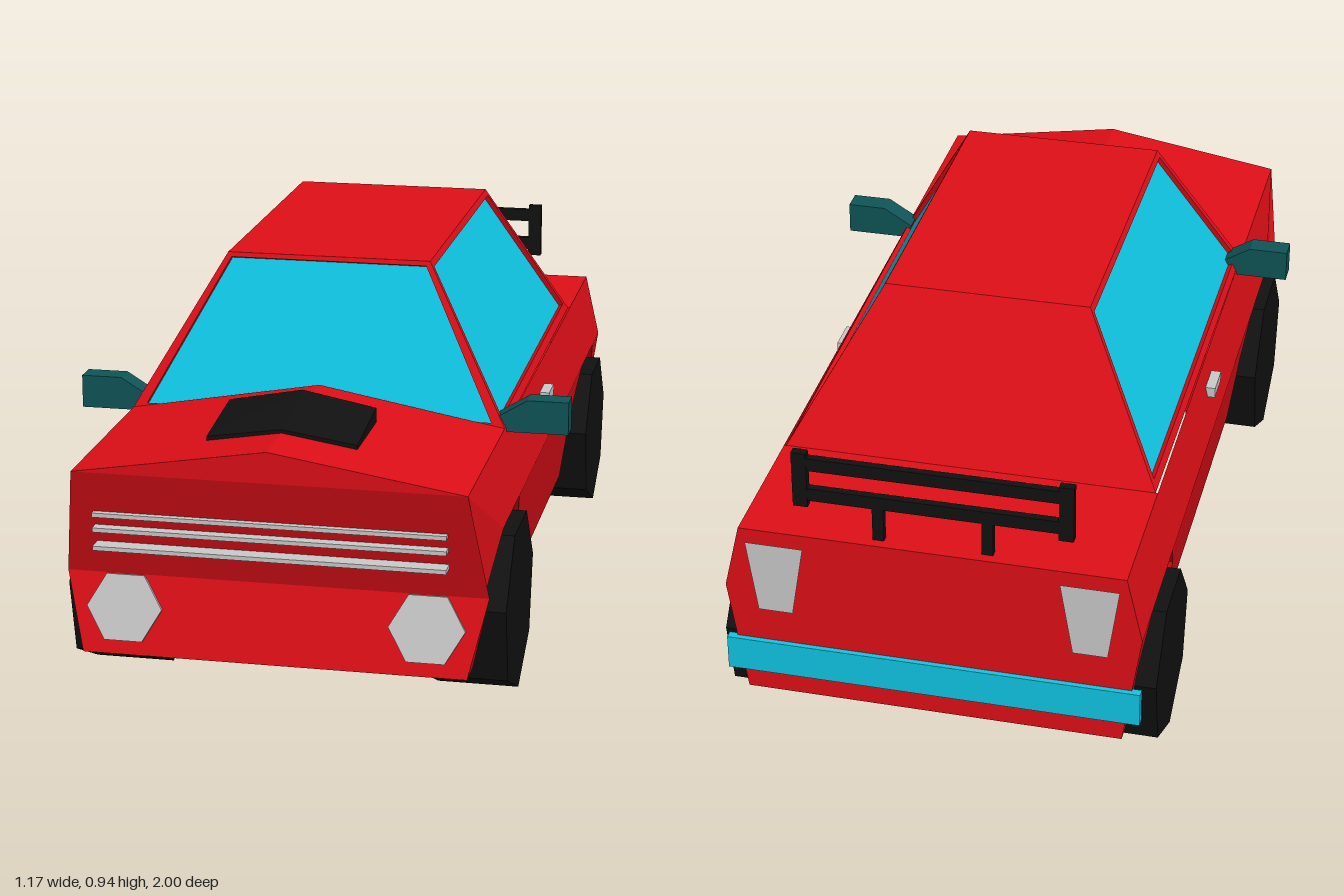
import * as THREE from 'three';

const paint = (color, side = THREE.FrontSide) =>
  new THREE.MeshStandardMaterial({ color, side, flatShading: true });

const V = (x, y, z) => new THREE.Vector3(x, y, z);

// Flat-shaded mesh from a list of convex polygons
function polyMesh(name, polys, material) {
  const pts = [];
  for (const p of polys)
    for (let i = 1; i < p.length - 1; i++) pts.push(p[0], p[i], p[i + 1]);
  const g = new THREE.BufferGeometry().setFromPoints(pts);
  g.computeVertexNormals();
  const m = new THREE.Mesh(g, material);
  m.name = name;
  return m;
}

// Mirror a polygon in x, keeping it outward facing
const mirror = (p) => p.map((v) => V(-v.x, v.y, v.z)).reverse();

// Half width of the body at a point of its side outline
function halfWidth(z, y) {
  if (y > 0.5) return 0.445;
  if (y > 0.4) return 0.482;
  if (y > 0.3) return z > 0.9 ? 0.482 : 0.467;
  return 0.44;
}

// Outward polygons of the left side panel from a (z, y) outline
function sidePanel(outline) {
  let c = outline.map(([z, y]) => new THREE.Vector2(-z, y));
  if (THREE.ShapeUtils.isClockWise(c)) c = c.reverse();
  return THREE.ShapeUtils.triangulateShape(c, []).map((t) =>
    t.map((i) => V(halfWidth(-c[i].x, c[i].y), c[i].y, -c[i].x)));
}

// Full-width strips following a (z, y) path
function across(path) {
  const out = [];
  for (let i = 0; i < path.length - 1; i++) {
    const [[z0, y0], [z1, y1]] = [path[i], path[i + 1]];
    const a = halfWidth(z0, y0), b = halfWidth(z1, y1);
    out.push([V(-a, y0, z0), V(a, y0, z0), V(b, y1, z1), V(-b, y1, z1)]);
  }
  return out;
}

// Window frame with a recessed pane; corners run bottom, bottom, top, top
function framedWindow(corners, u, vLow, vHigh) {
  const [a, b, c, d] = corners;
  const at = (s, t) => a.clone().lerp(b, s).lerp(d.clone().lerp(c, s), t);
  const rim = [at(u, vLow), at(1 - u, vLow), at(1 - u, 1 - vHigh), at(u, 1 - vHigh)];
  const n = b.clone().sub(a).cross(d.clone().sub(a)).normalize().multiplyScalar(-0.012);
  const pane = rim.map((p) => p.clone().add(n));
  const frame = [];
  for (let i = 0; i < 4; i++) {
    const j = (i + 1) % 4;
    frame.push([corners[i], corners[j], rim[j], rim[i]], [rim[i], rim[j], pane[j], pane[i]]);
  }
  return { frame, pane };
}

export function createModel() {
  const root = new THREE.Group();
  const car = new THREE.Group();
  car.name = 'car';
  car.position.x = -0.008;
  root.add(car);

  const red = paint(0xe00f18, THREE.DoubleSide);
  const glass = paint(0x10c8e6, THREE.DoubleSide);
  const black = paint(0x111111);
  const grey = paint(0xcccccc);
  const teal = paint(0x0f5558);

  const add = (name, geometry, material, x, y, z, parent = car) => {
    const m = new THREE.Mesh(geometry, material);
    m.name = name;
    m.position.set(x, y, z);
    parent.add(m);
    return m;
  };
  const box = (name, material, w, h, d, x, y, z) =>
    add(name, new THREE.BoxGeometry(w, h, d), material, x, y, z);

  // Body sides: shoulder panel, sill and the pieces beyond the wheel arches
  const side = [
    [[1, 0.58], [0.92, 0.32], [0.88, 0.32], [0.73, 0.42], [-0.99, 0.42], [-0.99, 0.58]],
    [[0.41, 0.14], [0.41, 0.32], [0.49, 0.42], [-0.63, 0.42], [-0.535, 0.32], [-0.535, 0.14]],
    [[-0.945, 0.14], [-0.945, 0.32], [-0.86, 0.42], [-0.99, 0.42], [-0.99, 0.14]],
    [[0.88, 0.14], [0.88, 0.32], [0.92, 0.32], [0.96, 0.14]],
  ].flatMap(sidePanel);
  car.add(polyMesh('bodySides', [...side, ...side.map(mirror)], red));

  // Front arch tunnel and nose; rear deck, tail and rear arch tunnel
  car.add(polyMesh('noseAndFrontArch', across([[0.41, 0.14], [0.41, 0.32], [0.49, 0.42],
    [0.73, 0.42], [0.88, 0.32], [0.88, 0.14], [0.96, 0.14], [0.92, 0.32], [1, 0.58]]), red));
  car.add(polyMesh('tailAndRearArch', across([[-0.64, 0.58], [-0.99, 0.58], [-0.99, 0.42],
    [-0.99, 0.14], [-0.945, 0.14], [-0.945, 0.32], [-0.86, 0.42], [-0.63, 0.42],
    [-0.535, 0.32], [-0.535, 0.14]]), red));

  // Hood with a centre ridge
  const hood = [V(0, 0.652, 1), V(0.445, 0.58, 1), V(0.445, 0.58, 0.49), V(0, 0.652, 0.463)];
  car.add(polyMesh('hood', [hood, mirror(hood),
    [V(-0.445, 0.58, 1), V(0.445, 0.58, 1), V(0, 0.652, 1)]], red));

  // Cabin: roof, solid back, framed windshield and side windows
  const fb = V(0.445, 0.58, 0.49), ft = V(0.243, 0.936, 0.355);
  const rb = V(0.44, 0.58, -0.64), rt = V(0.243, 0.936, -0.45);
  const flip = (v) => V(-v.x, v.y, v.z);
  const front = framedWindow([flip(fb), fb, ft, flip(ft)], 0.03, 0.03, 0.03);
  const door = framedWindow([fb, rb, rt, ft], 0.018, 0.05, 0.04);
  car.add(polyMesh('cabin', [
    [flip(ft), ft, rt, flip(rt)],
    [rb, flip(rb), flip(rt), rt],
    ...front.frame, ...door.frame, ...door.frame.map(mirror),
  ], red));
  car.add(polyMesh('windshield', [front.pane], glass));
  car.add(polyMesh('sideWindows', [door.pane, mirror(door.pane)], glass));

  // Hood scoop: ridged wedge rising to the rear
  const s = {
    f0: V(0, 0.645, 0.855), f1: V(0.172, 0.618, 0.855), F0: V(0, 0.66, 0.855), F1: V(0.172, 0.634, 0.855),
    r0: V(0, 0.645, 0.64), r1: V(0.172, 0.618, 0.64), R0: V(0, 0.691, 0.64), R1: V(0.172, 0.658, 0.64),
  };
  const scoop = [[s.F0, s.F1, s.R1, s.R0], [s.f0, s.f1, s.F1, s.F0],
    [s.r1, s.r0, s.R0, s.R1], [s.f1, s.r1, s.R1, s.F1]];
  car.add(polyMesh('hoodScoop', [...scoop, ...scoop.map(mirror)], black));

  // Grille bars
  for (const y of [0.398, 0.441, 0.476])
    box('grilleBar', grey, 0.8, 0.01, 0.045, -0.004, y, 0.963);

  // Rear bumper
  box('rearBumper', glass, 0.965, 0.085, 0.02, 0, 0.238, -0.993);

  // Spoiler: two bars between end plates, on two posts
  for (const y of [0.757, 0.678])
    box('spoilerBar', black, 0.62, 0.032, 0.018, 0, y, -0.957);
  for (const k of [-1, 1]) {
    box('spoilerEndPlate', black, 0.034, 0.14, 0.02, k * 0.303, 0.715, -0.957);
    box('spoilerPost', black, 0.026, 0.1, 0.018, k * 0.125, 0.62, -0.957);
  }

  // Seven-sided wheels
  const wheel = (r) => new THREE.CylinderGeometry(r, r, 0.188, 7).rotateZ(Math.PI / 2);
  // Six-sided headlights lying on the sloped lower nose
  const lamp = new THREE.CylinderGeometry(0.087, 0.087, 0.014, 6)
    .rotateY(Math.PI / 2).rotateX(Math.PI / 2 - 0.219);
  // Door mirror outline with a tapering arm
  const mirrorShape = new THREE.Shape([[0.583, 0.568], [0.583, 0.646], [0.487, 0.646],
    [0.415, 0.602], [0.425, 0.568]].map(([x, y]) => new THREE.Vector2(x, y)));
  const tail = [[0.295, 0.545], [0.43, 0.545], [0.405, 0.365], [0.325, 0.365]]
    .map(([x, y]) => V(x, y, -0.993));

  for (const k of [-1, 1]) {
    const label = k > 0 ? 'left' : 'right';
    for (const [name, r, y, z] of [['FrontWheel', 0.211, 0.211, 0.632], ['RearWheel', 0.2, 0.212, -0.745]]) {
      const w = add(label + name, wheel(r), black, k * 0.413, y, z);
      // turn a corner straight down
      w.rotation.x = Math.atan2(0, -1) / 2;
    }
    add(label + 'Headlight', lamp, grey, k * 0.346, 0.245, 0.938);
    box(label + 'DoorHandle', grey, 0.034, 0.026, 0.082, k * 0.464, 0.515, -0.04);
    car.add(polyMesh(label + 'TailLight', [k > 0 ? tail : mirror(tail)], paint(0xcccccc, THREE.DoubleSide)));

    const g = new THREE.ExtrudeGeometry(mirrorShape, { depth: 0.055, bevelEnabled: false });
    const m = add(label + 'DoorMirror', g, teal, 0, 0, 0.42, root);
    if (k < 0) {
      m.rotation.y = Math.PI;
      m.position.z = 0.475;
    }
  }
  return root;
}
